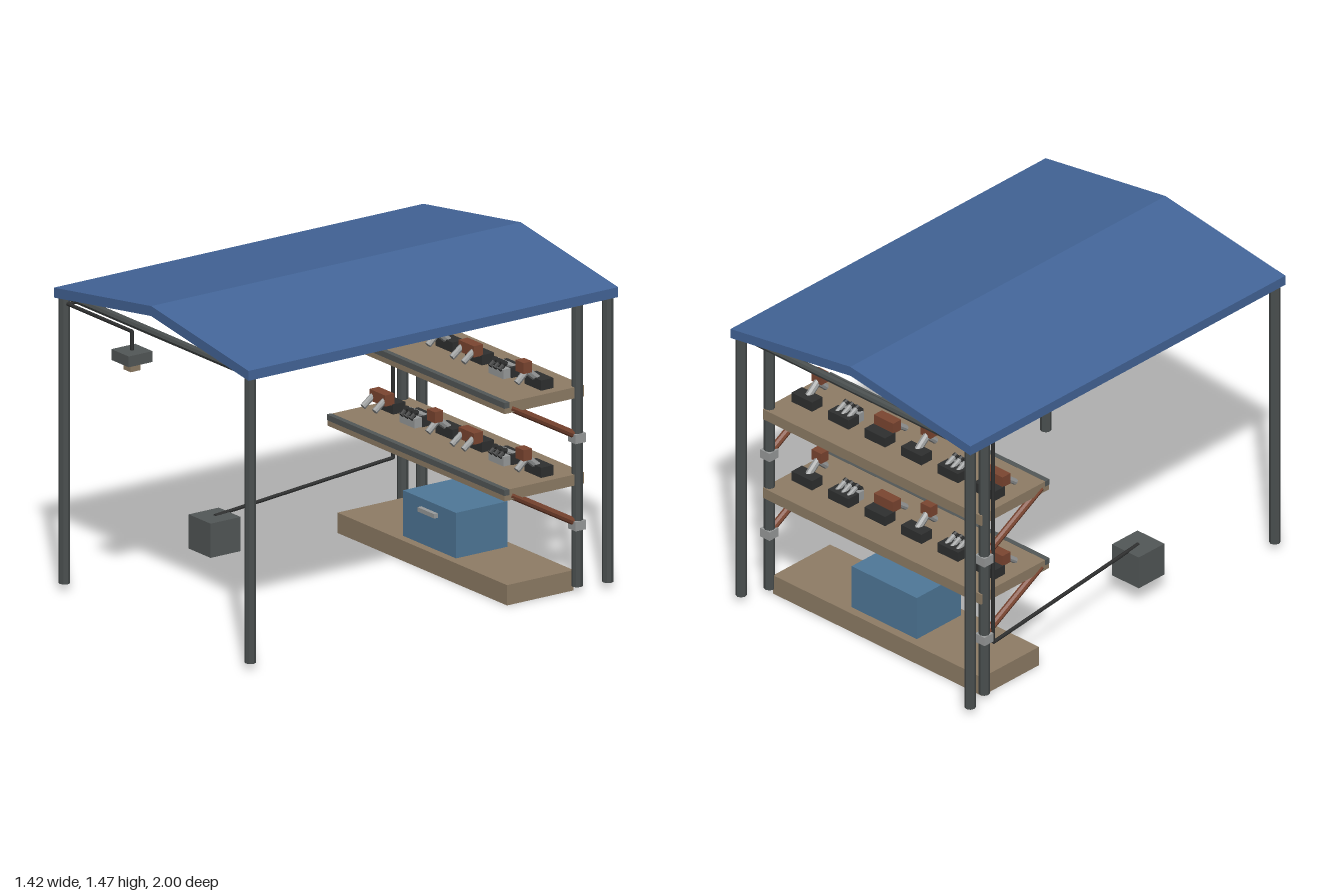
import * as THREE from 'three';

const paint = (name, color) => {
  const m = new THREE.MeshStandardMaterial({ color, flatShading: true });
  m.name = name;
  return m;
};

export function createModel() {
  const root = new THREE.Group();
  root.name = 'workshopShelter';

  const roofBlue = paint('roofBlue', 0x44669a);
  const chestBlue = paint('chestBlue', 0x4f7899);
  const wood = paint('wood', 0x8f7d66);
  const steel = paint('steel', 0x4a4f4f);
  const housing = paint('housing', 0x535858);
  const dark = paint('dark', 0x2f3030);
  const light = paint('light', 0x9a9c9c);
  const rust = paint('rust', 0x7c4631);

  const add = (name, geometry, material, parent = root) => {
    const mesh = new THREE.Mesh(geometry, material);
    mesh.name = name;
    parent.add(mesh);
    return mesh;
  };
  // box from its minimum and maximum corners
  const box = (name, a, b, material, parent) => {
    const mesh = add(name, new THREE.BoxGeometry(b[0] - a[0], b[1] - a[1], b[2] - a[2]), material, parent);
    mesh.position.set((a[0] + b[0]) / 2, (a[1] + b[1]) / 2, (a[2] + b[2]) / 2);
    return mesh;
  };
  // straight rod between two points
  const rod = (name, a, b, r, material, parent, sides = 8) => {
    const p = new THREE.Vector3(...a), q = new THREE.Vector3(...b);
    const dir = q.clone().sub(p);
    const mesh = add(name, new THREE.CylinderGeometry(r, r, dir.length(), sides), material, parent);
    mesh.position.copy(p).add(q).multiplyScalar(0.5);
    mesh.quaternion.setFromUnitVectors(new THREE.Vector3(0, 1, 0), dir.normalize());
    return mesh;
  };

  // gabled roof sheet
  const gable = new THREE.Shape([
    [-0.712, 1.32], [0, 1.425], [0.712, 1.32], [0.712, 1.365], [0, 1.47], [-0.712, 1.365],
  ].map(([x, y]) => new THREE.Vector2(x, y)));
  const roof = add('roof', new THREE.ExtrudeGeometry(gable, { depth: 1.968, bevelEnabled: false }), roofBlue);
  roof.position.z = -1;

  // posts and top frame
  const front = 0.935, back = -0.967, inner = -0.835;
  for (const s of [-1, 1]) {
    rod('frontPost', [s * 0.68, 0.03, front], [s * 0.68, 1.335, front], 0.025, steel);
    rod('backPost', [s * 0.68, 0.03, back], [s * 0.68, 1.335, back], 0.025, steel);
    rod('shelfPost', [s * 0.638, 0.025, inner], [s * 0.638, 1.32, inner], 0.025, steel);
    rod('sideBeam', [s * 0.68, 1.337, back], [s * 0.68, 1.337, front], 0.018, steel);
  }
  for (const z of [front, back]) rod('crossBeam', [-0.68, 1.337, z], [0.68, 1.337, z], 0.018, steel);

  // three kinds of bench tool, with the shelf top at y = 0
  const toolMakers = [
    (g) => {
      box('vice', [-0.057, 0.042, -0.68], [0.057, 0.093, -0.63], rust, g);
      for (const s of [-1, 1]) rod('viceLeg', [s * 0.042, 0.065, -0.638], [s * 0.042, 0.025, -0.585], 0.014, light, g);
    },
    (g) => {
      box('rackFront', [-0.055, 0, -0.672], [0.055, 0.043, -0.632], light, g);
      for (const x of [-0.034, 0, 0.034]) {
        rod('rackTube', [x, 0.036, -0.71], [x, 0.06, -0.66], 0.0115, light, g);
        rod('rackTip', [x, 0.06, -0.66], [x, 0.067, -0.645], 0.0125, dark, g);
        rod('rackNozzle', [x, 0.055, -0.645], [x, 0.038, -0.625], 0.011, dark, g);
      }
    },
    (g) => {
      rod('headNeck', [0, 0.03, -0.70], [0, 0.092, -0.625], 0.017, light, g);
      rod('headGrip', [0, 0.075, -0.63], [0, 0.035, -0.585], 0.015, light, g);
      box('head', [-0.029, 0.08, -0.645], [0.029, 0.13, -0.6], rust, g);
    },
  ];

  // shelves with edge rails, braces, clamps and tools
  for (const top of [0.535, 0.93]) {
    const shelf = new THREE.Group();
    shelf.name = 'shelf';
    shelf.position.y = top;
    root.add(shelf);
    box('shelfBoard', [-0.648, -0.05, -0.865], [0.648, 0, -0.442], wood, shelf);
    box('shelfRail', [-0.65, -0.025, -0.465], [0.65, 0.001, -0.44], housing, shelf);
    for (const s of [-1, 1]) {
      rod('brace', [s * 0.635, -0.03, -0.48], [s * 0.635, -0.225, -0.835], 0.017, rust, shelf);
      box('clamp', [s * 0.638 - 0.028, -0.252, -0.863], [s * 0.638 + 0.028, -0.21, -0.807], light, shelf);
    }
    for (let i = 0; i < 6; i++) {
      const tool = new THREE.Group();
      tool.name = 'tool';
      tool.position.x = -0.542 + i * 0.2165;
      shelf.add(tool);
      box('toolBase', [-0.061, 0, -0.735], [0.061, 0.046, -0.67], dark, tool);
      toolMakers[i % 3](tool);
    }
  }

  // plinth with the blue chest
  box('plinth', [-0.62, 0, -0.83], [0.62, 0.092, -0.475], wood);
  box('chest', [-0.195, 0.092, -0.79], [0.192, 0.298, -0.515], chestBlue);
  box('chestHandle', [-0.062, 0.241, -0.515], [0.06, 0.261, -0.495], light);

  // motor box and hanging lamp joined by one conduit
  box('motorBox', [-0.595, 0.092, 0.175], [-0.435, 0.247, 0.335], housing);
  box('lampHousing', [-0.247, 1.167, 0.873], [-0.12, 1.216, 1.0], housing);
  box('lampLens', [-0.21, 1.127, 0.91], [-0.158, 1.167, 0.962], wood);
  const route = [
    [-0.515, 0.246, 0.255], [-0.655, 0.27, -0.797], [-0.655, 1.3, -0.797],
    [-0.655, 1.3, front], [-0.185, 1.3, front], [-0.185, 1.21, front],
  ];
  for (let i = 1; i < route.length; i++) rod('conduit', route[i - 1], route[i], 0.0085, dark);

  return root;
}
